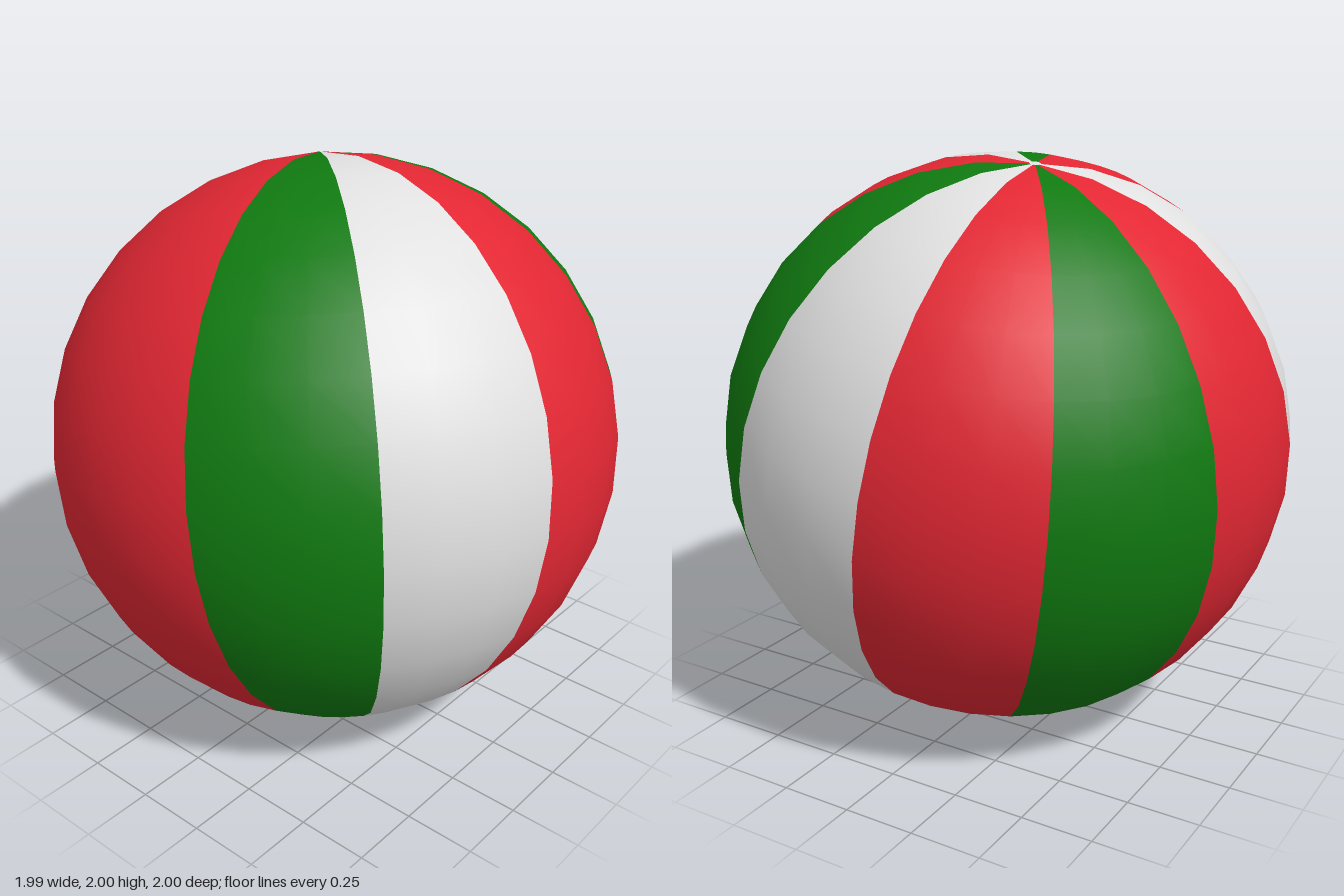
import * as THREE from 'three';

const STEP = Math.PI / 16; // one of 32 segments around the ball

export function createModel() {
  const red = new THREE.MeshStandardMaterial({ color: 0xe22733 });
  const white = new THREE.MeshStandardMaterial({ color: 0xe0e0e0 });
  const green = new THREE.MeshStandardMaterial({ color: 0x107a10 });
  red.name = 'red';
  white.name = 'white';
  green.name = 'green';

  const model = new THREE.Group();
  model.name = 'beachBall';

  // The ball leans, so its poles are off the vertical
  const ball = new THREE.Group();
  ball.name = 'ball';
  ball.position.y = 1;
  const axis = new THREE.Vector3(0.13, 0.975, -0.18).normalize();
  ball.quaternion.setFromUnitVectors(new THREE.Vector3(0, 1, 0), axis);
  model.add(ball);

  // Panels from pole to pole: three segments wide, the last one five
  const panels = [white, red, green, red, white, green, red, white, green, red];
  let angle = THREE.MathUtils.degToRad(221.5);
  panels.forEach((material, i) => {
    const segments = i === panels.length - 1 ? 5 : 3;
    const width = segments * STEP;
    const geometry = new THREE.SphereGeometry(1, segments, 16, Math.PI - angle - width, width);
    const panel = new THREE.Mesh(geometry, material);
    panel.name = `${material.name}Panel${i + 1}`;
    ball.add(panel);
    angle += width;
  });

  // Small cap where the panels meet at the top
  const cap = new THREE.Mesh(
    new THREE.SphereGeometry(1.001, 16, 1, 0, Math.PI * 2, 0, 0.02), white);
  cap.name = 'topCap';
  ball.add(cap);

  return model;
}
